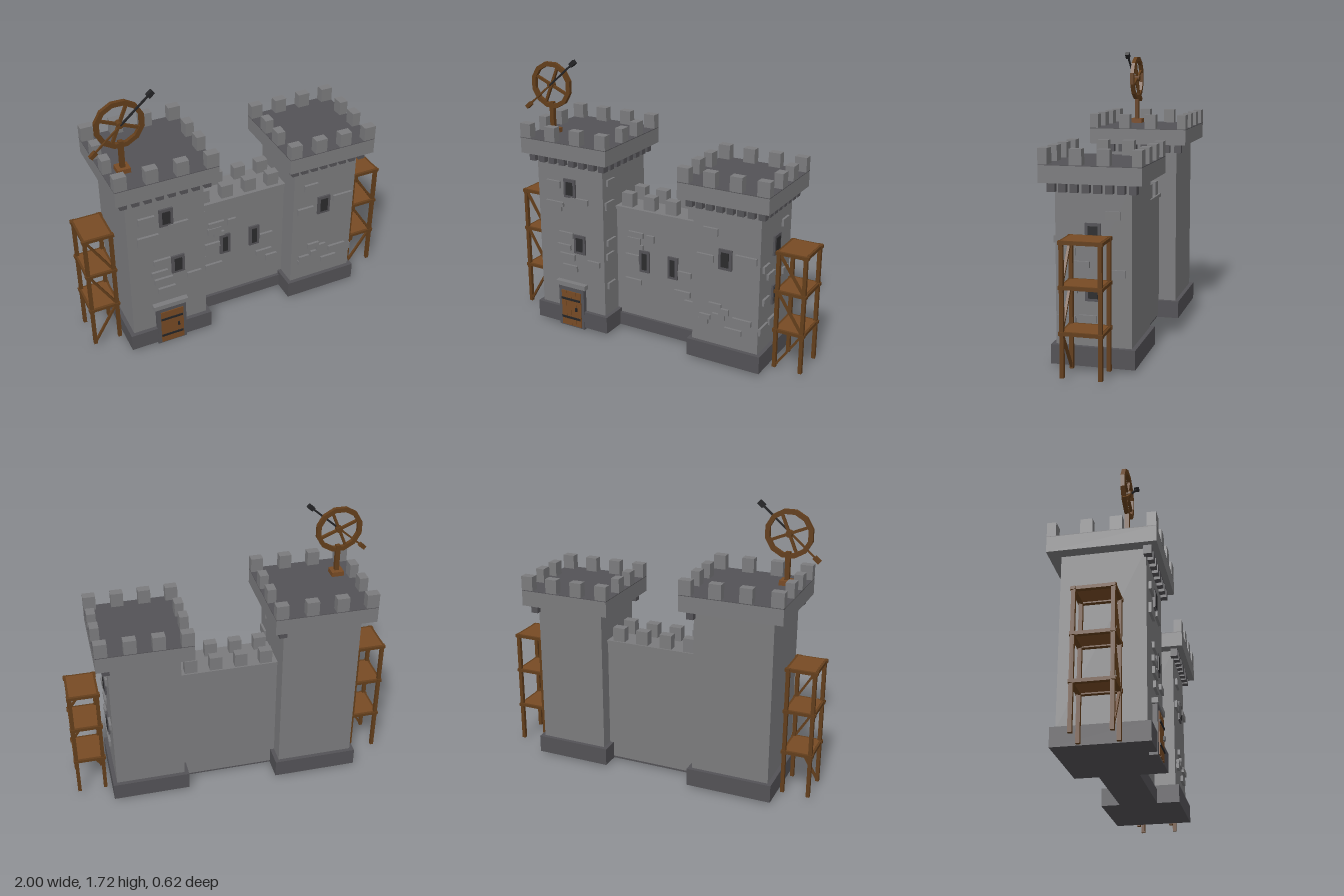
import * as THREE from 'three';

const mat = (name, color) => {
  const m = new THREE.MeshStandardMaterial({ color });
  m.name = name;
  return m;
};

export function createModel() {
  const root = new THREE.Group();
  root.name = 'castle';
  const stone = mat('stone grey', 0x7b7b7d);
  const dark = mat('dark stone', 0x535256);
  const black = mat('window black', 0x2b2b2d);
  const wood = mat('wood', 0x774a24);
  const beam = mat('beam wood', 0x633e1b);
  const iron = mat('iron', 0x242426);

  const group = (name, parent = root) => {
    const g = new THREE.Group();
    g.name = name;
    parent.add(g);
    return g;
  };
  // Box given by its limits on each axis
  const box = (parent, name, m, x0, x1, y0, y1, z0, z1) => {
    const b = new THREE.Mesh(new THREE.BoxGeometry(x1 - x0, y1 - y0, z1 - z0), m);
    b.position.set((x0 + x1) / 2, (y0 + y1) / 2, (z0 + z1) / 2);
    b.name = name;
    parent.add(b);
    return b;
  };
  // Square bar between two points
  const bar = (parent, name, m, a, b, w) => {
    const p = new THREE.Vector3(...a), q = new THREE.Vector3(...b);
    const s = new THREE.Mesh(new THREE.BoxGeometry(w, w, p.distanceTo(q)), m);
    s.position.copy(p).lerp(q, 0.5);
    s.lookAt(q);
    s.name = name;
    parent.add(s);
  };

  // Framed window on a front face
  const frontWindow = (g, x0, x1, y0, y1, z) => {
    const t = 0.018;
    box(g, 'windowFrame', dark, x0, x1, y0, y1, z - 0.01, z + 0.012);
    box(g, 'windowOpening', black, x0 + t, x1 - t, y0 + t, y1 - t, z + 0.01, z + 0.016);
  };
  // Raised stones [x, y, width, height] on a front face
  const frontStones = (g, z, list) => list.forEach(([x, y, w, h]) =>
    box(g, 'raisedStone', stone, x, x + w, y, y + h, z - 0.01, z + 0.016));
  // Raised stones [z, y, width, height] on a left-hand face
  const sideStones = (g, x, list) => list.forEach(([z, y, w, h]) =>
    box(g, 'raisedStone', stone, x - 0.01, x + 0.014, y, y + h, z, z + w));

  // Tower with plinth, corbels, parapet and merlons
  const tower = (name, cx, h, H, yPar, corbels) => {
    const g = group(name);
    const yRoof = yPar + 0.1;
    box(g, 'plinth', dark, cx - h - 0.025, cx + h + 0.025, 0.015, 0.125, -h - 0.025, h + 0.025);
    box(g, 'shaft', stone, cx - h, cx + h, 0.12, yPar, -h, h);
    box(g, 'parapet', stone, cx - H, cx + H, yPar, yRoof - 0.004, -H, H);
    box(g, 'roof', dark, cx - H, cx + H, yRoof - 0.004, yRoof, -H, H);
    const out = h + 0.035, w = 0.042;
    for (let i = 0; i < corbels; i++) {
      const c = -out + w / 2 + (i * (2 * out - w)) / (corbels - 1);
      box(g, 'corbel', dark, cx + c - w / 2, cx + c + w / 2, yPar - 0.053, yPar, h - 0.01, out);
      if (i < corbels - 1)
        box(g, 'corbel', dark, cx + h - 0.01, cx + out, yPar - 0.053, yPar, c - w / 2, c + w / 2);
    }
    const m = 0.075, d = 0.053;
    for (const s of [-1, 1]) {
      const e0 = s * H, e1 = s * (H - d);
      for (let i = 0; i < 4; i++) {
        const c = -H + m / 2 + (i * (2 * H - m)) / 3;
        box(g, 'merlon', stone, cx + c - m / 2, cx + c + m / 2, yRoof, yRoof + 0.088,
          Math.min(e0, e1), Math.max(e0, e1));
        if (i === 1 || i === 2)
          box(g, 'merlon', stone, cx + Math.min(e0, e1), cx + Math.max(e0, e1), yRoof, yRoof + 0.088,
            c * 0.92 - 0.035, c * 0.92 + 0.035);
      }
    }
    return g;
  };

  // Tall tower
  const tall = tower('tallTower', -0.53, 0.24, 0.31, 1.143, 8);
  frontWindow(tall, -0.572, -0.487, 0.88, 1.0, 0.24);
  frontWindow(tall, -0.508, -0.425, 0.515, 0.64, 0.24);
  frontStones(tall, 0.24, [
    [-0.70, 0.93, 0.10, 0.045], [-0.52, 0.85, 0.125, 0.035], [-0.71, 0.81, 0.13, 0.03],
    [-0.71, 0.78, 0.115, 0.03], [-0.62, 0.61, 0.105, 0.035], [-0.635, 0.525, 0.10, 0.035],
    [-0.62, 0.46, 0.115, 0.04], [-0.41, 0.45, 0.09, 0.035], [-0.60, 0.385, 0.11, 0.04]]);
  sideStones(tall, -0.29, [
    [0.12, 0.98, 0.08, 0.04], [0.13, 0.83, 0.09, 0.05], [0.12, 0.59, 0.09, 0.04],
    [0.14, 0.5, 0.08, 0.04], [0.13, 0.3, 0.08, 0.04]]);

  // Door with planks, straps and lintel
  const door = group('door');
  box(door, 'doorFrame', dark, -0.625, -0.435, 0, 0.28, 0.22, 0.268);
  for (let i = 0; i < 4; i++) {
    const x = -0.602 + i * 0.037;
    box(door, 'plank', wood, x, x + 0.0355, 0.01, 0.25, 0.265, 0.274);
  }
  for (const y of [0.065, 0.195])
    box(door, 'strap', iron, -0.602, -0.462, y - 0.007, y + 0.007, 0.272, 0.279);
  box(door, 'handle', iron, -0.496, -0.484, 0.12, 0.145, 0.272, 0.284);
  box(door, 'lintel', stone, -0.643, -0.42, 0.28, 0.31, 0.22, 0.275);

  // Short tower
  const short = tower('shortTower', 0.537, 0.215, 0.287, 1.03, 8);
  frontWindow(short, 0.492, 0.578, 0.62, 0.747, 0.215);
  frontStones(short, 0.215, [
    [0.39, 0.82, 0.095, 0.045], [0.35, 0.65, 0.11, 0.045], [0.60, 0.69, 0.135, 0.04],
    [0.435, 0.36, 0.08, 0.035], [0.50, 0.33, 0.065, 0.04], [0.46, 0.295, 0.08, 0.035],
    [0.375, 0.28, 0.07, 0.03], [0.37, 0.25, 0.06, 0.03], [0.59, 0.295, 0.12, 0.035],
    [0.54, 0.22, 0.11, 0.035]]);
  sideStones(short, 0.752, [
    [-0.155, 0.835, 0.085, 0.045], [0.02, 0.565, 0.10, 0.035], [0.1, 0.245, 0.11, 0.045],
    [-0.02, 0.26, 0.10, 0.04], [-0.18, 0.52, 0.08, 0.04], [0.1, 0.63, 0.08, 0.04],
    [0.09, 0.42, 0.08, 0.04]]);
  for (const y of [0.69, 0.38]) {
    box(short, 'windowFrame', dark, 0.74, 0.764, y, y + 0.122, -0.044, 0.044);
    box(short, 'windowOpening', black, 0.762, 0.768, y + 0.016, y + 0.106, -0.028, 0.028);
  }

  // Curtain wall with two rows of merlons
  const wall = group('curtainWall');
  box(wall, 'wallBody', stone, -0.3, 0.33, 0.03, 0.81, -0.13, 0.085);
  box(wall, 'wallPlinth', dark, -0.3, 0.33, 0.015, 0.1, -0.125, 0.105);
  box(wall, 'wallCap', stone, -0.3, 0.33, 0.805, 0.826, -0.14, 0.098);
  for (let i = 0; i < 4; i++) {
    const x = -0.257 + i * 0.155;
    for (const z of [-0.13, 0.02])
      box(wall, 'merlon', stone, x, x + 0.077, 0.826, 0.912, z, z + 0.055);
  }
  frontWindow(wall, -0.123, -0.053, 0.415, 0.56, 0.085);
  frontWindow(wall, 0.08, 0.15, 0.415, 0.56, 0.085);
  frontStones(wall, 0.085, [
    [-0.20, 0.64, 0.105, 0.035], [-0.205, 0.59, 0.09, 0.045], [-0.165, 0.565, 0.07, 0.03],
    [-0.07, 0.625, 0.055, 0.045], [-0.225, 0.485, 0.10, 0.035], [-0.225, 0.32, 0.115, 0.035],
    [0.155, 0.445, 0.09, 0.035], [0.13, 0.315, 0.11, 0.035], [0.2, 0.25, 0.08, 0.045]]);

  // Scaffolds: posts, planked levels, edge rails and front braces
  const scaffold = (name, x0, x1, levels) => {
    const g = group(name);
    const top = levels[2], zs = [-0.106, 0.106];
    for (const x of [x0, x1])
      for (const z of zs)
        box(g, 'post', beam, x - 0.011, x + 0.011, 0.015, top, z - 0.011, z + 0.011);
    for (const y of levels) {
      box(g, 'platform', wood, x0, x1, y - 0.004, y + 0.009, -0.106, 0.106);
      for (const z of zs)
        box(g, 'rail', beam, x0 - 0.018, x1 + 0.018, y - 0.011, y + 0.007, z - 0.014, z + 0.014);
      for (const x of [x0, x1])
        box(g, 'rail', beam, x - 0.013, x + 0.013, y - 0.012, y + 0.008, -0.122, 0.122);
    }
    bar(g, 'brace', beam, [x0, 0.02, 0.106], [x1, levels[0], 0.106], 0.014);
    for (let i = 0; i < 2; i++)
      bar(g, 'brace', beam, [x0, levels[i + 1], 0.106], [x1, levels[i], 0.106], 0.014);
  };
  scaffold('rightScaffold', -0.982, -0.823, [0.286, 0.55, 0.812]);
  scaffold('leftScaffold', 0.818, 0.982, [0.26, 0.508, 0.748]);

  // Spoked wheel on a stand, with a long pointer
  const wheel = group('wheel');
  const wx = -0.725, wy = 1.545;
  box(wheel, 'standBase', wood, wx - 0.038, wx + 0.038, 1.243, 1.272, 0.085, 0.16);
  box(wheel, 'standPost', beam, wx - 0.014, wx + 0.014, 1.27, 1.44, 0.112, 0.138);
  const ring = (r, hole) => {
    const s = new THREE.Shape(), h = new THREE.Path();
    for (let i = 0; i < 12; i++) {
      const a = ((i + 0.5) * Math.PI) / 6, c = Math.cos(a), d = Math.sin(a);
      s[i ? 'lineTo' : 'moveTo'](r * c, r * d);
      h[i ? 'lineTo' : 'moveTo'](hole * c, hole * d);
    }
    s.holes.push(h);
    return new THREE.ExtrudeGeometry(s, { depth: 0.024, bevelEnabled: false });
  };
  const rim = new THREE.Mesh(ring(0.146, 0.118), beam);
  rim.position.set(wx, wy, 0.114);
  rim.name = 'rim';
  wheel.add(rim);
  for (const a of [-0.4, -0.4 + Math.PI / 2]) {
    const c = 0.125 * Math.cos(a), d = 0.125 * Math.sin(a);
    bar(wheel, 'spoke', beam, [wx - c, wy - d, 0.126], [wx + c, wy + d, 0.126], 0.016);
  }
  const hub = new THREE.Mesh(new THREE.CylinderGeometry(0.02, 0.02, 0.04, 8), beam);
  hub.rotation.x = Math.PI / 2;
  hub.position.set(wx, wy, 0.127);
  hub.name = 'hub';
  wheel.add(hub);
  const z = 0.146, along = (t) => [wx + 0.757 * t, wy + 0.653 * t, z];
  bar(wheel, 'pointerTail', beam, along(-0.22), along(0), 0.01);
  bar(wheel, 'pointerRod', iron, along(0), along(0.23), 0.01);
  bar(wheel, 'pointerGrip', beam, along(-0.24), along(-0.195), 0.024);
  bar(wheel, 'pointerTip', iron, along(0.215), along(0.255), 0.026);

  return root;
}
